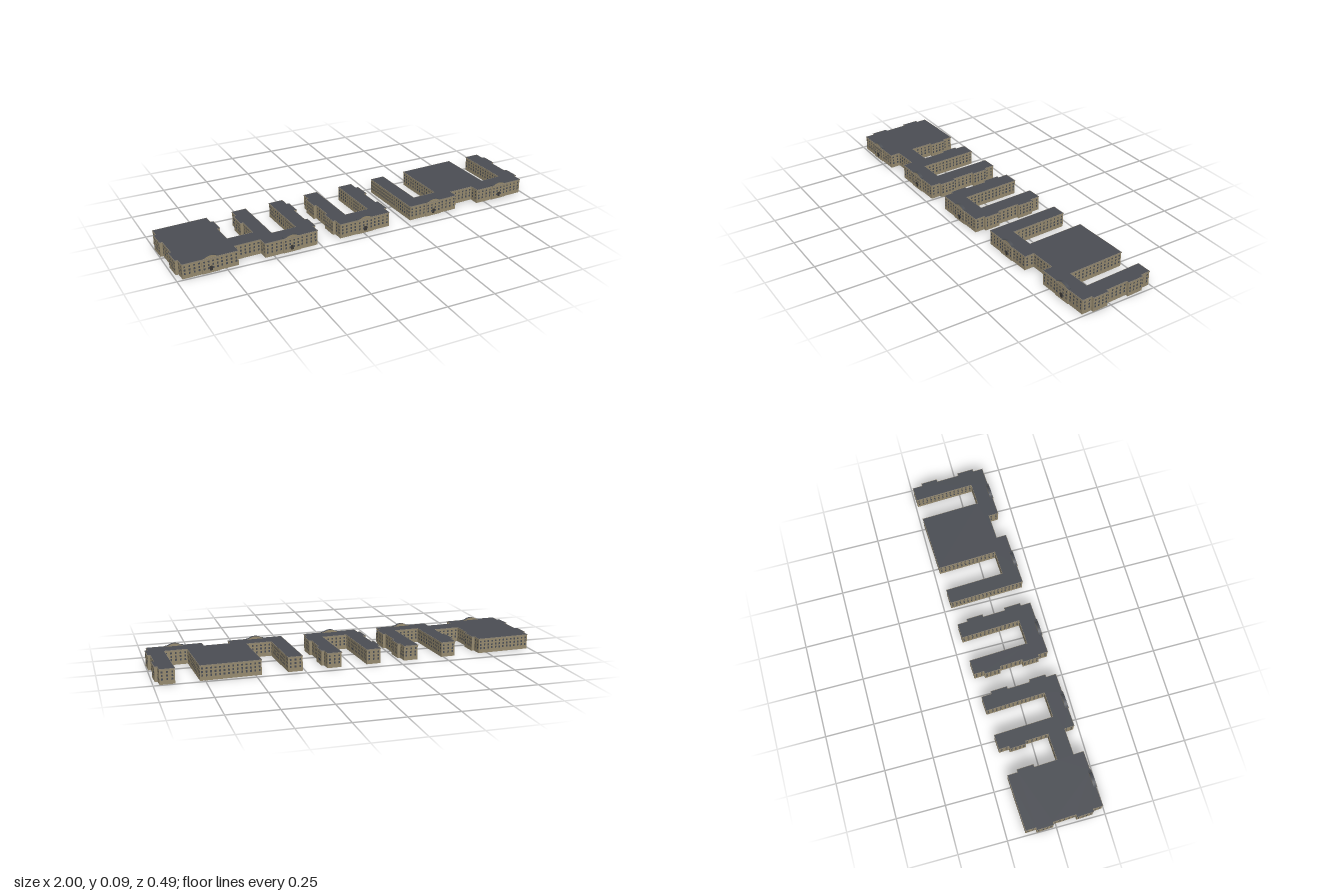
import * as THREE from 'three';
import { mergeGeometries } from 'three/addons/utils/BufferGeometryUtils.js';

const mat = (name, color, side = THREE.FrontSide) => {
  const m = new THREE.MeshStandardMaterial({ color, side });
  m.name = name;
  return m;
};

// Plan lines: front, back, courtyard edge, wing width, half unit width
const F = 0.197, B = -0.199, I = 0.112, W = 0.075, H = 0.142;
const EAVE = 0.078, BAY = 0.014;

// Front of one unit, with a slightly projecting centre, left to right
const front = c => [[c - H, F], [c - 0.045, F], [c - 0.045, F + 0.004],
  [c + 0.045, F + 0.004], [c + 0.045, F], [c + H, F]];

// Projecting bays on a side wall; side +1 runs front to back, -1 back to front
function bays(x, side, spans) {
  const pts = spans.flatMap(([a, b]) =>
    [[x, a], [x + side * BAY, a], [x + side * BAY, b], [x, b]]);
  return side > 0 ? pts : pts.reverse();
}
const FRONT_BAY = [0.145, 0.06], REAR_BAY = [-0.061, -0.146];
const BOTH = [FRONT_BAY, REAR_BAY];

// Rear of a U-shaped unit, right to left
const court = c => [[c + H, B], [c + H - W, B], [c + H - W, I],
  [c - H + W, I], [c - H + W, B], [c - H, B]];

const C1 = -0.837, C2 = -0.413, C4 = 0.413, C5 = 0.837;
const buildings = [
  { name: 'rightBuilding', doors: [C1, C2], plan: [
    ...bays(C1 - H, -1, BOTH), ...front(C1), [C1 + H, 0.145], [C2 - H, 0.145],
    ...front(C2), ...bays(C2 + H, 1, BOTH), ...court(C2),
    ...bays(C2 - H, -1, [REAR_BAY]), [C2 - H, 0.06], [C1 + H, 0.06],
    ...bays(C1 + H, 1, [REAR_BAY]), [C1 + H, B], [C1 - H, B]] },
  { name: 'middleBuilding', doors: [0], plan: [
    ...bays(-H, -1, BOTH), ...front(0), ...bays(H, 1, BOTH), ...court(0)] },
  { name: 'leftBuilding', doors: [C4, C5], plan: [
    ...front(C4), [C4 + H, 0.145], [C5 - H, 0.145], ...front(C5),
    ...bays(C5 + H, 1, BOTH), [C5 + H, B], [C5 + H - W, B], [C5 + H - W, I],
    [0.785, I], [0.785, B], [C4 + H - W, B], [C4 + H - W, I],
    [C4 - H + W, I], [C4 - H + W, B], [C4 - H, B]] },
];

// Moves every edge of a right-angled plan outward
function offset(pts, d) {
  return pts.map((p, i) => {
    const a = pts[(i + pts.length - 1) % pts.length], b = pts[(i + 1) % pts.length];
    const e = p.clone().sub(a).normalize(), f = b.clone().sub(p).normalize();
    return new THREE.Vector2(p.x + (e.y + f.y) * d, p.y - (e.x + f.x) * d);
  });
}

export function createModel() {
  const wallMat = mat('sandstone', 0x978b70, THREE.DoubleSide);
  const roofMat = mat('slate', 0x4b4e54, THREE.DoubleSide);
  const glassMat = mat('windowGrey', 0x4a4e55);
  const doorMat = mat('doorDark', 0x3a3835);
  const corniceMat = mat('corniceStone', 0x8c8474);

  const model = new THREE.Group();
  model.name = 'terrace';
  model.rotation.y = 0.045;

  // Curved gable above each entrance
  const gableShape = new THREE.Shape();
  gableShape.moveTo(-0.045, 0);
  gableShape.lineTo(0.045, 0);
  gableShape.lineTo(0.045, 0.002);
  gableShape.quadraticCurveTo(0.03, 0.003, 0.026, 0.007);
  gableShape.quadraticCurveTo(0.016, 0.013, 0, 0.0135);
  gableShape.quadraticCurveTo(-0.016, 0.013, -0.026, 0.007);
  gableShape.quadraticCurveTo(-0.03, 0.003, -0.045, 0.002);
  const gableGeo = new THREE.ExtrudeGeometry(gableShape,
    { depth: 0.016, bevelEnabled: false, curveSegments: 6 });

  for (const { name, doors, plan } of buildings) {
    const group = new THREE.Group();
    group.name = name;
    model.add(group);
    const add = (part, geo, material) => {
      const mesh = new THREE.Mesh(geo, material);
      mesh.name = part;
      group.add(mesh);
      return mesh;
    };
    const pts = plan.map(([x, z]) => new THREE.Vector2(x, -z));
    const walls = [], windows = [];

    // Walls and three rows of windows along every edge
    pts.forEach((p, i) => {
      const q = pts[(i + 1) % pts.length], len = p.distanceTo(q);
      if (len < 1e-5) return;
      const angle = Math.atan2(q.y - p.y, q.x - p.x);
      const panel = (w, h, t, y, out) => new THREE.PlaneGeometry(w, h).rotateY(angle)
        .translate(p.x + (q.x - p.x) * t + Math.sin(angle) * out, y,
          -(p.y + (q.y - p.y) * t) + Math.cos(angle) * out);
      walls.push(panel(len, EAVE, 0.5, EAVE / 2, 0));
      const n = len < 0.03 ? 0 : Math.floor(len / 0.0208);
      for (let k = 0; k < n; k++)
        for (const [y, h] of [[0.026, 0.011], [0.0435, 0.011], [0.0615, 0.009]])
          windows.push(panel(0.0085, h, (k + 0.5) / n, y, 0.0006));
    });
    add('walls', mergeGeometries(walls), wallMat);
    add('windows', mergeGeometries(windows), glassMat);

    // Flat roof inside an overhanging cornice
    add('roof', new THREE.ShapeGeometry(new THREE.Shape(pts))
      .rotateX(-Math.PI / 2).translate(0, EAVE, 0), roofMat);
    const ring = new THREE.Shape(offset(pts, 0.002));
    ring.holes.push(new THREE.Path(pts));
    add('cornice', new THREE.ExtrudeGeometry(ring, { depth: 0.004, bevelEnabled: false })
      .rotateX(-Math.PI / 2).translate(0, EAVE - 0.004, 0), corniceMat);

    // Entrances and gables
    for (const c of doors) {
      add('door', new THREE.BoxGeometry(0.014, 0.024, 0.002), doorMat)
        .position.set(c, 0.024, F + 0.005);
      add('gable', gableGeo, [wallMat, roofMat]).position.set(c, EAVE, F - 0.012);
    }
  }

  const root = new THREE.Group();
  root.name = 'buildings';
  root.add(model);
  return root;
}
